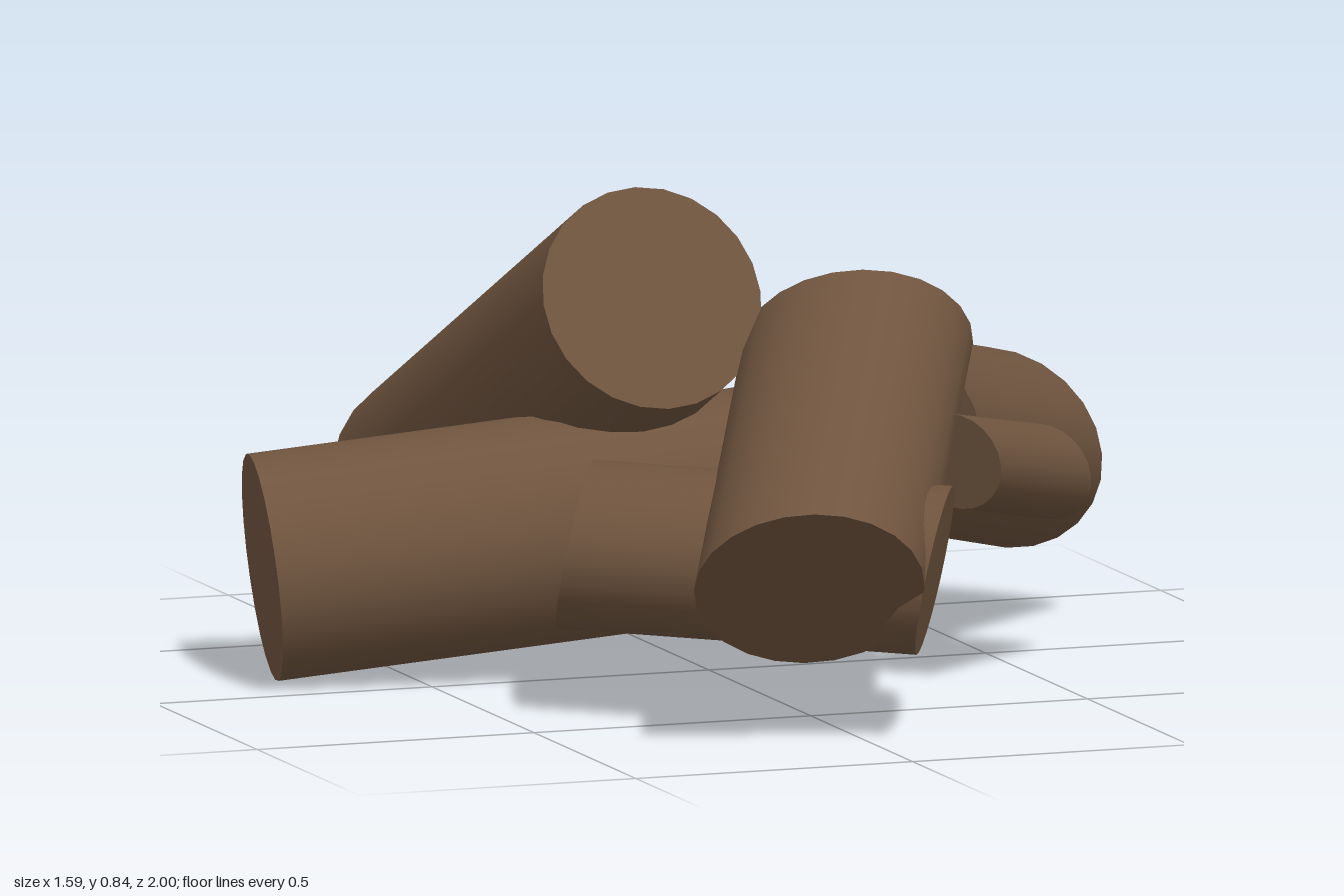
import * as THREE from 'three';

// A log: an elliptical cylinder from one end centre to the other.
// cut = direction the end faces point (defaults to the log's own axis, other values give slanted ends).
function makeLog(name, material, { from, to, cut, rWide, rTall = rWide }) {
  const a = new THREE.Vector3(...from);
  const b = new THREE.Vector3(...to);
  const axis = b.clone().sub(a);
  const normal = (cut ? new THREE.Vector3(...cut) : axis.clone()).normalize();
  const wide = new THREE.Vector3(0, 1, 0).cross(normal).normalize();
  const tall = wide.clone().cross(normal);

  // Unit cylinder carried onto the slanted frame of this log
  const frame = new THREE.Matrix4().makeBasis(
    wide.multiplyScalar(rWide), axis, tall.multiplyScalar(rTall));
  frame.setPosition(a.add(b).multiplyScalar(0.5));
  const geometry = new THREE.CylinderGeometry(1, 1, 1, 24).applyMatrix4(frame);

  const mesh = new THREE.Mesh(geometry, material);
  mesh.name = name;
  return mesh;
}

export function createModel() {
  const bark = new THREE.MeshStandardMaterial({ color: 0x70553f });
  bark.name = 'bark brown';

  const logs = {
    // Large logs
    backLog: { from: [-0.145, 0.672, 0.115], to: [-0.145, 0.19, -0.915], rWide: 0.196 },
    frontLog: { from: [-0.137, 0.29, 0.865], to: [0.23, 0.57, 0.106], cut: [0.216, 0.65, -0.73], rWide: 0.196 },
    leftBackLog: { from: [0.28, 0.415, 0.06], to: [0.648, 0.297, -0.344], cut: [0.64, 0.23, -0.73], rWide: 0.19, rTall: 0.184 },
    rightLog: { from: [0.053, 0.292, 0.007], to: [-0.746, 0.2, -0.164], rWide: 0.195 },
    // Shorter logs wedged underneath
    lowerBackLog: { from: [0.05, 0.225, -0.46], to: [0.33, 0.29, -0.298], cut: [0.985, 0.12, 0.107], rWide: 0.17, rTall: 0.16 },
    lowerFrontLog: { from: [-0.34, 0.285, 0.27], to: [0.134, 0.287, 0.745], cut: [0.88, -0.19, 0.43], rWide: 0.187, rTall: 0.145 },
    // Small branch stub
    smallLog: { from: [0.29, 0.415, 0.424], to: [0.545, 0.343, 0.173], cut: [0.64, 0.28, -0.68], rWide: 0.083, rTall: 0.09 },
  };

  const group = new THREE.Group();
  group.name = 'logPile';
  for (const [name, spec] of Object.entries(logs)) group.add(makeLog(name, bark, spec));
  return group;
}
